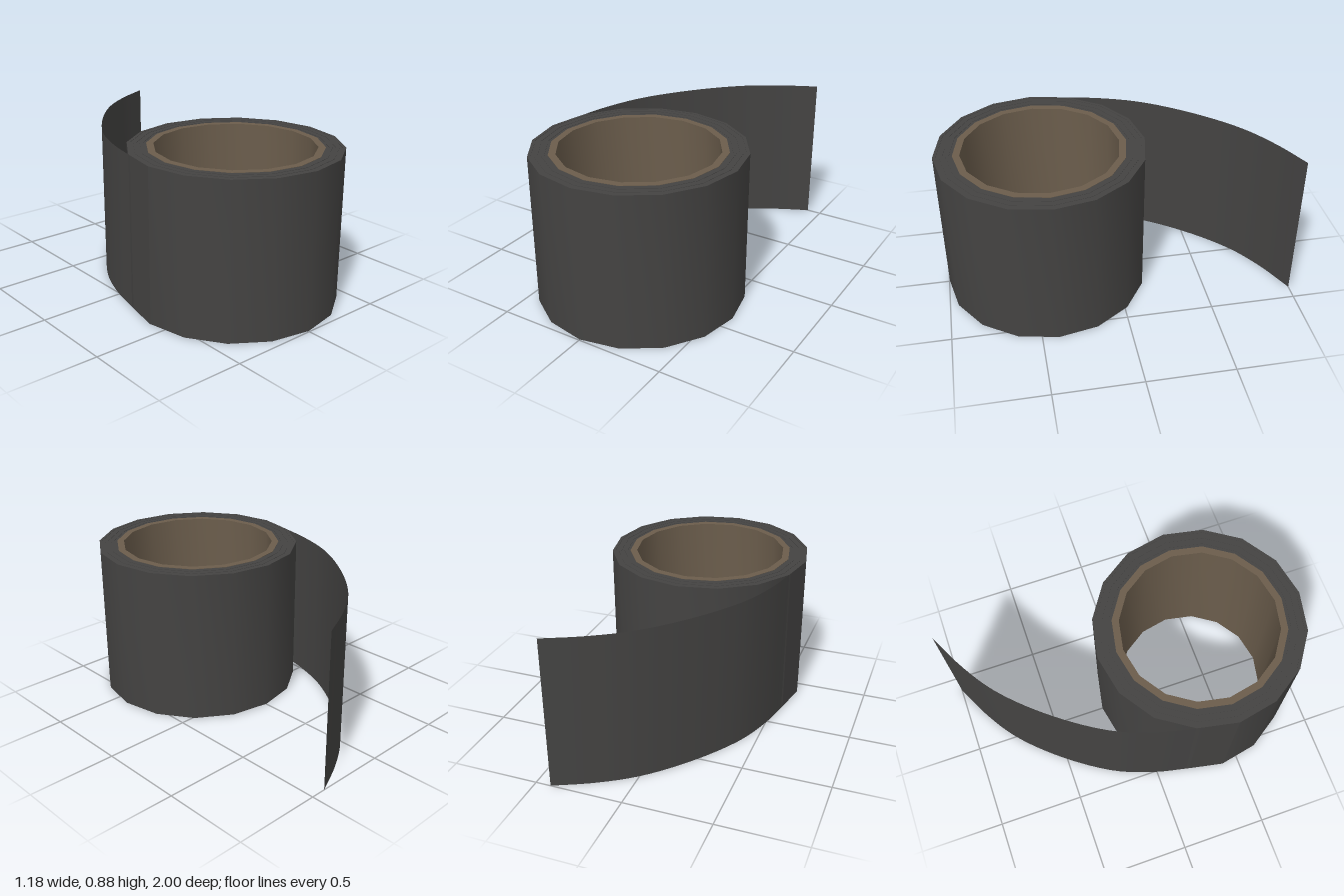
import * as THREE from 'three';
import { toCreasedNormals } from 'three/addons/utils/BufferGeometryUtils.js';

const SIDES = 16, HEIGHT = 0.885, CENTRE_Z = 0.405;
const CORE_INNER = 0.445, CORE_OUTER = 0.485, ROLL_RADIUS = 0.592, LAYERS = 6;

// Closed ring turned from a rectangular section, smooth walls and sharp rims
function ring(name, inner, outer, bottom, top, material) {
  const profile = [[inner, bottom], [outer, bottom], [outer, top], [inner, top], [inner, bottom]]
    .map(([r, y]) => new THREE.Vector2(r, y));
  const geometry = toCreasedNormals(new THREE.LatheGeometry(profile, SIDES), 0.6);
  const mesh = new THREE.Mesh(geometry, material);
  mesh.name = name;
  return mesh;
}

export function createModel() {
  const model = new THREE.Group();
  model.name = 'tapeRoll';
  const tape = new THREE.MeshStandardMaterial({ color: 0x444342, side: THREE.DoubleSide });
  const card = new THREE.MeshStandardMaterial({ color: 0x6b5d4c });

  // Cardboard core and the wound layers of tape
  const roll = new THREE.Group();
  roll.name = 'roll';
  roll.position.z = CENTRE_Z;
  roll.add(ring('core', CORE_INNER, CORE_OUTER, 0.003, HEIGHT, card));
  const step = (ROLL_RADIUS - CORE_OUTER) / LAYERS;
  for (let i = 0; i < LAYERS; i++) {
    const inner = CORE_OUTER + i * step;
    const inset = i % 2 ? 0.003 : 0.005;
    roll.add(ring('tapeLayer' + (i + 1), inner, inner + step, inset, HEIGHT + 0.003 - inset, tape));
  }
  model.add(roll);

  // Loose end peeling away from the roll in a wide arc
  const path = new THREE.CatmullRomCurve3([
    [-0.592, 0.405], [-0.547, 0.18], [-0.5, -0.02], [-0.41, -0.25],
    [-0.22, -0.53], [0, -0.76], [0.2, -0.895], [0.413, -1],
  ].map(([x, z]) => new THREE.Vector3(x, 0, z)));
  const geometry = new THREE.PlaneGeometry(1, HEIGHT, 32, 1);
  const position = geometry.attributes.position;
  for (let i = 0; i < position.count; i++) {
    const p = path.getPoint(0.5 - position.getX(i));
    position.setXYZ(i, p.x, position.getY(i) + HEIGHT / 2, p.z);
  }
  geometry.computeVertexNormals();
  const strip = new THREE.Mesh(geometry, tape);
  strip.name = 'looseEnd';
  model.add(strip);

  return model;
}
